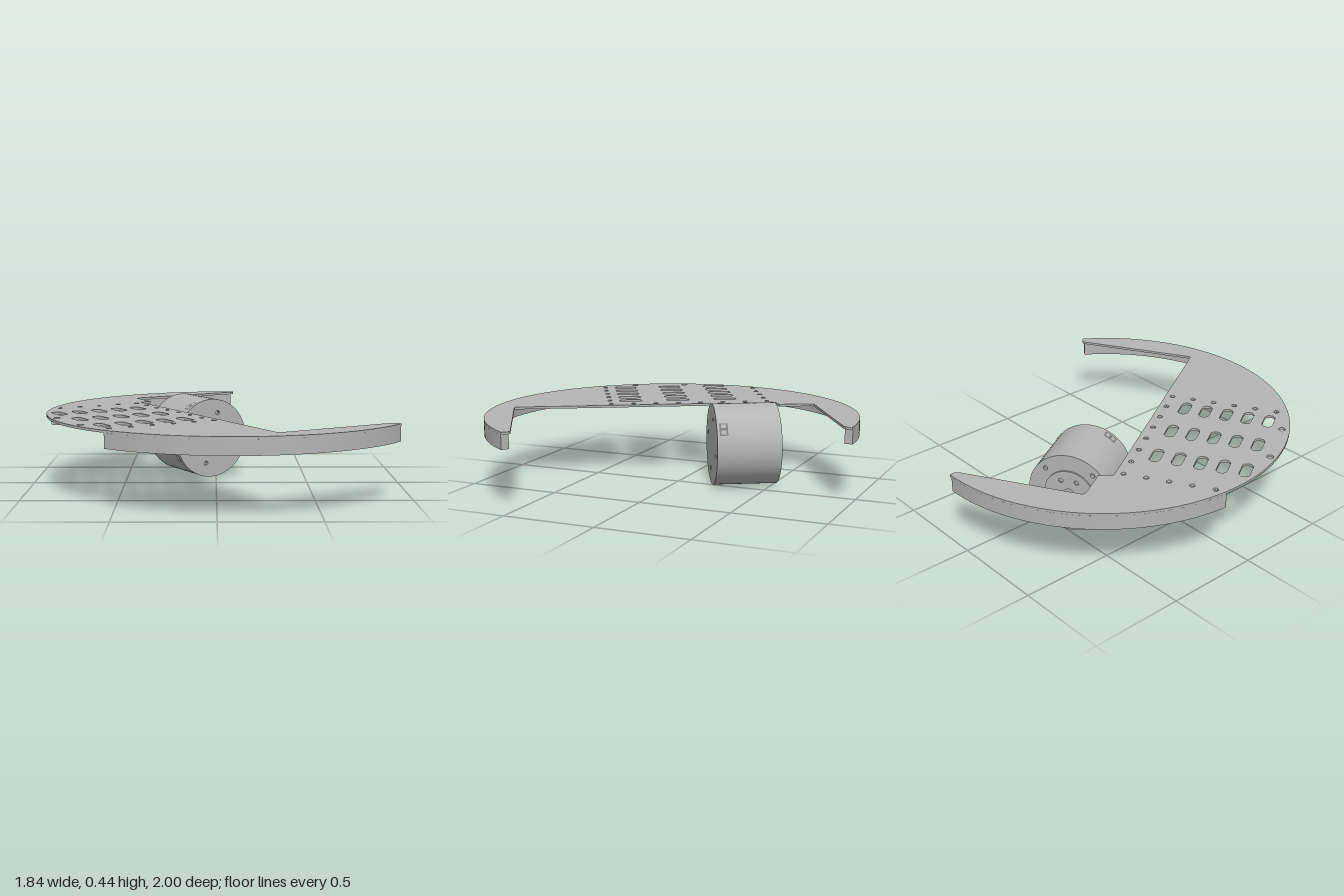
import * as THREE from 'three';
import { toCreasedNormals } from 'three/addons/utils/BufferGeometryUtils.js';

const deg = Math.PI / 180;
const grey = new THREE.MeshStandardMaterial({ color: 0xb4b4b4 });
grey.name = 'light grey';
const dark = new THREE.MeshStandardMaterial({ color: 0x7c7c7c });
dark.name = 'socket grey';

function addMesh(parent, name, geometry, material = grey) {
  const mesh = new THREE.Mesh(geometry, material);
  mesh.name = name;
  parent.add(mesh);
  return mesh;
}

function extrude(shape, depth) {
  const g = new THREE.ExtrudeGeometry(shape, { depth, bevelEnabled: false, curveSegments: 32 });
  return toCreasedNormals(g, 0.6);
}

// Horizontal slab: shape y points towards local -z
function slab(shape, y0, y1) {
  return extrude(shape, y1 - y0).rotateX(-Math.PI / 2).translate(0, y0, 0);
}

function hole(shape, x, y, r) {
  shape.holes.push(new THREE.Path().absarc(x, y, r, 0, Math.PI * 2, true));
}

function slot(shape, x, y, halfLength, r) {
  const p = new THREE.Path();
  p.absarc(x, y + halfLength, r, 0, Math.PI, false);
  p.absarc(x, y - halfLength, r, Math.PI, Math.PI * 2, false);
  p.closePath();
  shape.holes.push(p);
}

function disc(r) {
  return new THREE.Shape().absarc(0, 0, r, 0, Math.PI * 2, false);
}

function holeRing(shape, count, ringRadius, r, start) {
  for (let i = 0; i < count; i++) {
    const a = start + (i / count) * Math.PI * 2;
    hole(shape, ringRadius * Math.cos(a), ringRadius * Math.sin(a), r);
  }
}

// Crescent plate with two arms, a straight inner edge and a hole pattern
function makePlate() {
  const s = new THREE.Shape();
  s.absarc(0, 0, 1, 58.8 * deg, 296.7 * deg, false);
  s.quadraticCurveTo(0.45, -0.85, 0.415, -0.849);
  s.lineTo(-0.235, -0.849);
  s.quadraticCurveTo(-0.253, -0.849, -0.253, -0.83);
  s.lineTo(-0.253, 0.6);
  s.lineTo(-0.235, 0.612);
  s.lineTo(-0.18, 0.622);
  s.lineTo(-0.178, 0.8);
  s.lineTo(-0.165, 0.817);
  s.lineTo(0.475, 0.82);
  s.quadraticCurveTo(0.515, 0.822, 0.518, 0.855);

  for (const y of [0.347, 0.075, -0.195]) {
    for (let i = 0; i < 5; i++) slot(s, -0.398 - 0.1165 * i, y, 0.037, 0.028);
  }
  for (let i = 0; i < 8; i++) hole(s, -0.294, 0.573 - 0.1266 * i, 0.014);
  for (let i = 1; i < 5; i++) hole(s, -0.294 - 0.1176 * i, 0.573, 0.014);
  for (let i = 1; i < 6; i++) hole(s, -0.294 - 0.1176 * i, -0.315, 0.014);
  hole(s, -0.95, 0.176, 0.018);
  hole(s, -0.95, -0.13, 0.018);
  return slab(s, 0.387, 0.4);
}

// Curved wall hanging below the plate edge
function makeRim(a0, a1) {
  const s = new THREE.Shape();
  s.absarc(0, 0, 1, a0 * deg, a1 * deg, false);
  s.absarc(0, 0, 0.958, a1 * deg, a0 * deg, true);
  s.closePath();
  return slab(s, 0.31, 0.387);
}

// Drum along local z, with drilled end plates and three side sockets
function makeDrum() {
  const drum = new THREE.Group();
  drum.name = 'drum';
  const R = 0.2205, half = 0.173, cap = 0.02;

  const body = new THREE.CylinderGeometry(R, R, 2 * (half - cap), 64).rotateX(Math.PI / 2);
  addMesh(drum, 'drumBody', body);

  const front = disc(R);
  holeRing(front, 4, 0.146, 0.012, -15 * deg);
  addMesh(drum, 'frontCap', extrude(front, cap)).position.z = half - cap;

  const back = disc(R);
  holeRing(back, 4, 0.18, 0.012, 45 * deg);
  addMesh(drum, 'backCap', extrude(back, cap)).position.z = -half;

  const boss = disc(0.133);
  hole(boss, 0, 0, 0.03);
  holeRing(boss, 6, 0.085, 0.012, 0);
  addMesh(drum, 'backBoss', extrude(boss, 0.008)).position.z = -half - 0.008;

  // Sockets: curved patches on the side, angle measured from straight up
  const patch = (name, r, width, length, z, angle, mat) => {
    const t = width / R;
    const g = new THREE.CylinderGeometry(r, r, length, 8, 1, true, Math.PI - t / 2, t);
    g.rotateX(Math.PI / 2).translate(0, 0, z);
    addMesh(drum, name, g, mat).rotation.z = -angle * deg;
  };
  for (const angle of [-122, -32, 58]) {
    patch('socket', R + 0.001, 0.07, 0.045, 0.137, angle, dark);
    for (const side of [-1, 1]) {
      patch('socketPad', R + 0.002, 0.02, 0.026, 0.137, angle + side * 4.5, grey);
    }
  }
  return drum;
}

export function createModel() {
  const model = new THREE.Group();
  model.name = 'chassis';
  const turned = new THREE.Group();
  turned.name = 'turnedAssembly';
  turned.position.x = 0.085;
  turned.rotation.y = Math.PI / 6;
  model.add(turned);

  addMesh(turned, 'plate', makePlate());
  addMesh(turned, 'backRim', makeRim(59.5, 145));
  addMesh(turned, 'frontRim', makeRim(201.3, 296.5));

  const drum = makeDrum();
  drum.position.set(0, 0.2205, -0.39);
  turned.add(drum);
  return model;
}
